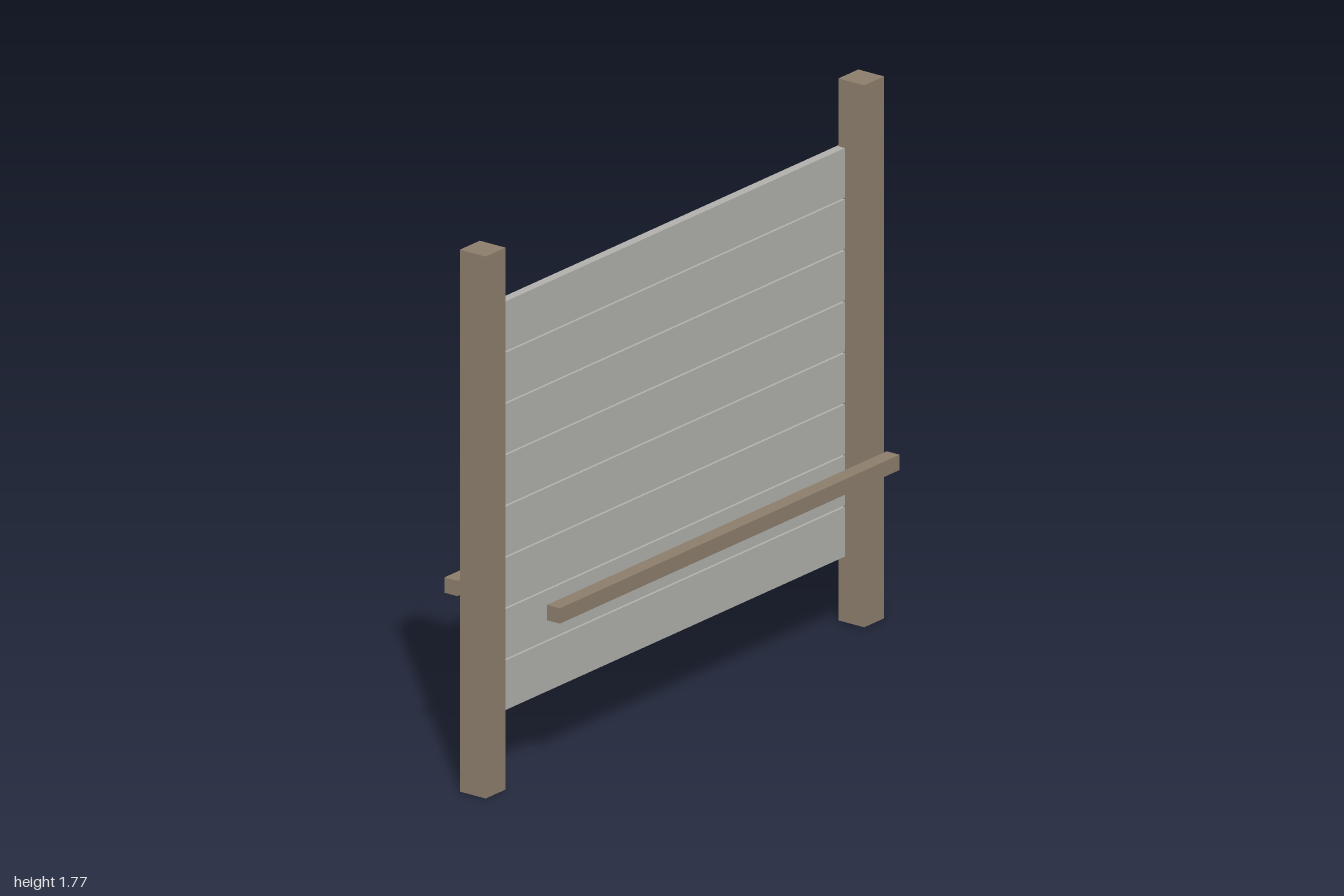
import * as THREE from 'three';

export function createModel() {
  const model = new THREE.Group();
  model.name = 'slattedPanel';

  const wood = new THREE.MeshStandardMaterial({ color: 0x8b7d6b });
  const slatPaint = new THREE.MeshStandardMaterial({ color: 0xb0afaa });

  function addBox(name, material, size, position) {
    const mesh = new THREE.Mesh(new THREE.BoxGeometry(...size), material);
    mesh.name = name;
    mesh.position.set(...position);
    model.add(mesh);
  }

  // Square posts at both ends
  const postHeight = 1.77;
  for (const [side, s] of [['left', 1], ['right', -1]]) {
    addBox(`${side}Post`, wood, [0.1, postHeight, 0.1], [s * 0.95, postHeight / 2, 0]);
  }

  // Eight horizontal boards with narrow gaps, let into the back half of the posts
  const count = 8, bottom = 0.214, boardHeight = 0.162, pitch = 0.1675;
  for (let i = 0; i < count; i++) {
    addBox(`board${i + 1}`, slatPaint, [1.9, boardHeight, 0.031],
      [0, bottom + boardHeight / 2 + i * pitch, -0.0405]);
  }

  // Free-standing rails in front of and behind the boards
  for (const [side, s] of [['front', 1], ['back', -1]]) {
    addBox(`${side}Rail`, wood, [1.705, 0.05, 0.05], [0, 0.592, s * 0.198]);
  }

  return model;
}
